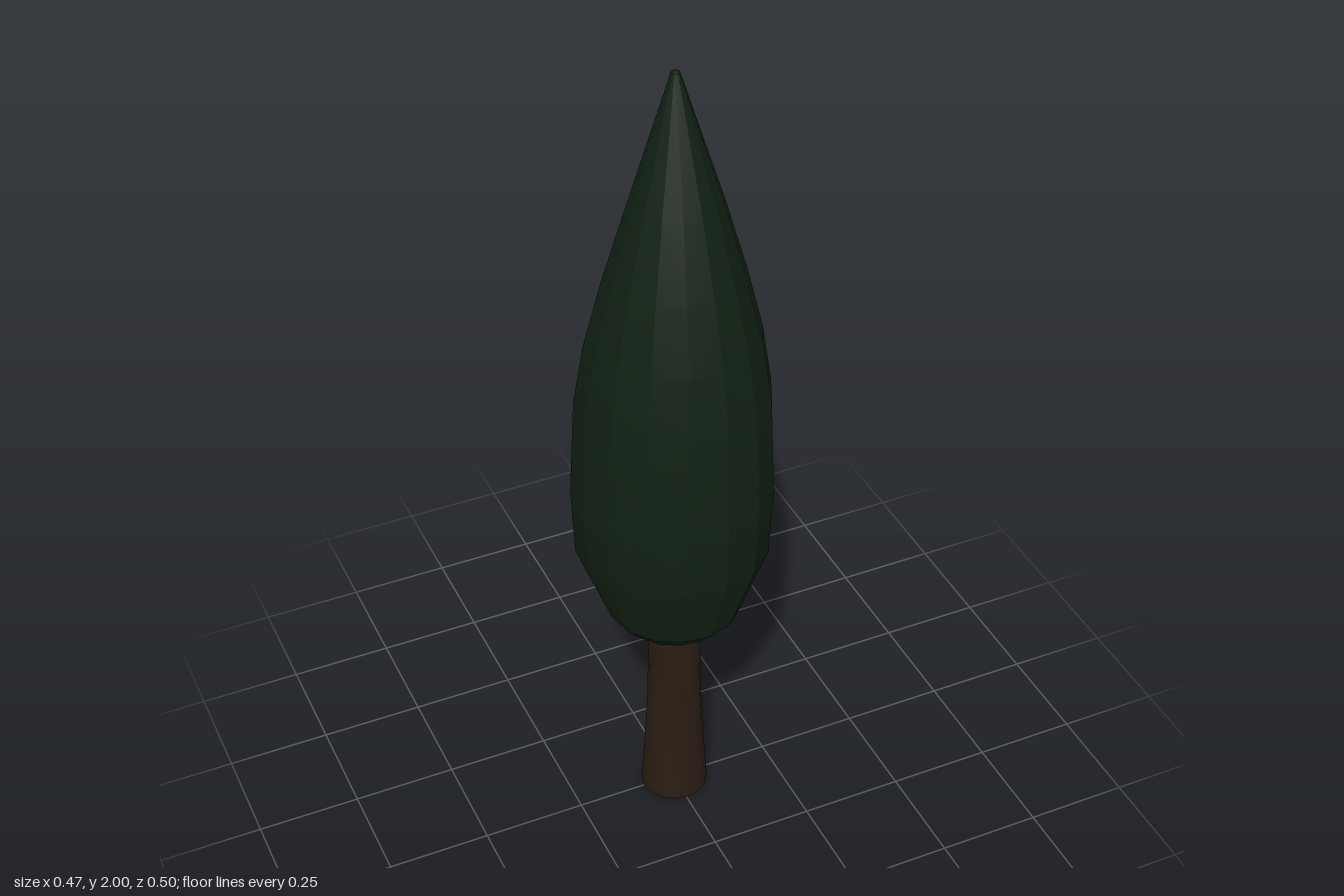
import * as THREE from 'three';
import { toCreasedNormals } from 'three/addons/utils/BufferGeometryUtils.js';

// Slightly irregular crown outline [x, z] at its widest, from the front round by the left
const OUTLINE = [
  [0.022, 0.25], [0.107, 0.224], [0.177, 0.157], [0.228, 0.05],
  [0.234, -0.04], [0.207, -0.13], [0.155, -0.208], [0.08, -0.25],
  [0, -0.253], [-0.095, -0.229], [-0.173, -0.166], [-0.224, -0.078],
  [-0.236, 0.022], [-0.213, 0.12], [-0.153, 0.196], [-0.067, 0.238],
];

// Crown profile [share of the outline, height], bottom to tip
const CROWN = [
  [0, 0.515], [0.25, 0.515], [0.5, 0.55], [0.7, 0.605], [0.965, 0.765], [1, 0.94],
  [0.95, 1.19], [0.85, 1.34], [0.68, 1.5], [0.47, 1.67], [0.04, 1.995], [0, 2],
];

// Trunk profile [radius, height], flared at the foot
const TRUNK = [
  [0, 0], [0.082, 0], [0.076, 0.09], [0.07, 0.19], [0.065, 0.31], [0.063, 0.42],
  [0.062, 0.56], [0, 0.56],
];

const toPoints = (list) => list.map(([r, y]) => new THREE.Vector2(r, y));

function addPart(group, name, geometry, color) {
  const mesh = new THREE.Mesh(geometry, new THREE.MeshStandardMaterial({ color }));
  mesh.name = name;
  group.add(mesh);
  return mesh;
}

// Lathe whose rings follow the irregular outline, with the waist tilted a little
function crownGeometry() {
  const sides = OUTLINE.length;
  const geometry = new THREE.LatheGeometry(toPoints(CROWN), sides);
  const position = geometry.attributes.position;
  for (let i = 0; i <= sides; i++) {
    const [x, z] = OUTLINE[i % sides];
    CROWN.forEach(([scale, y], j) => {
      const lean = Math.max(0, (y - 0.5) / 1.5);
      const tilt = j >= 4 && j <= 9 ? 0.15 * z : 0;
      position.setXYZ(i * CROWN.length + j, x * scale + 0.007 * lean, y + tilt, z * scale - 0.003 * lean);
    });
  }
  return toCreasedNormals(geometry, 0.33);
}

export function createModel() {
  const tree = new THREE.Group();
  tree.name = 'cypressTree';

  addPart(tree, 'crown', crownGeometry(), 0x112013);

  const trunkGeometry = toCreasedNormals(new THREE.LatheGeometry(toPoints(TRUNK), 16), 0.7);
  const trunk = addPart(tree, 'trunk', trunkGeometry, 0x2a1d14);
  trunk.position.x = 0.003;

  return tree;
}
